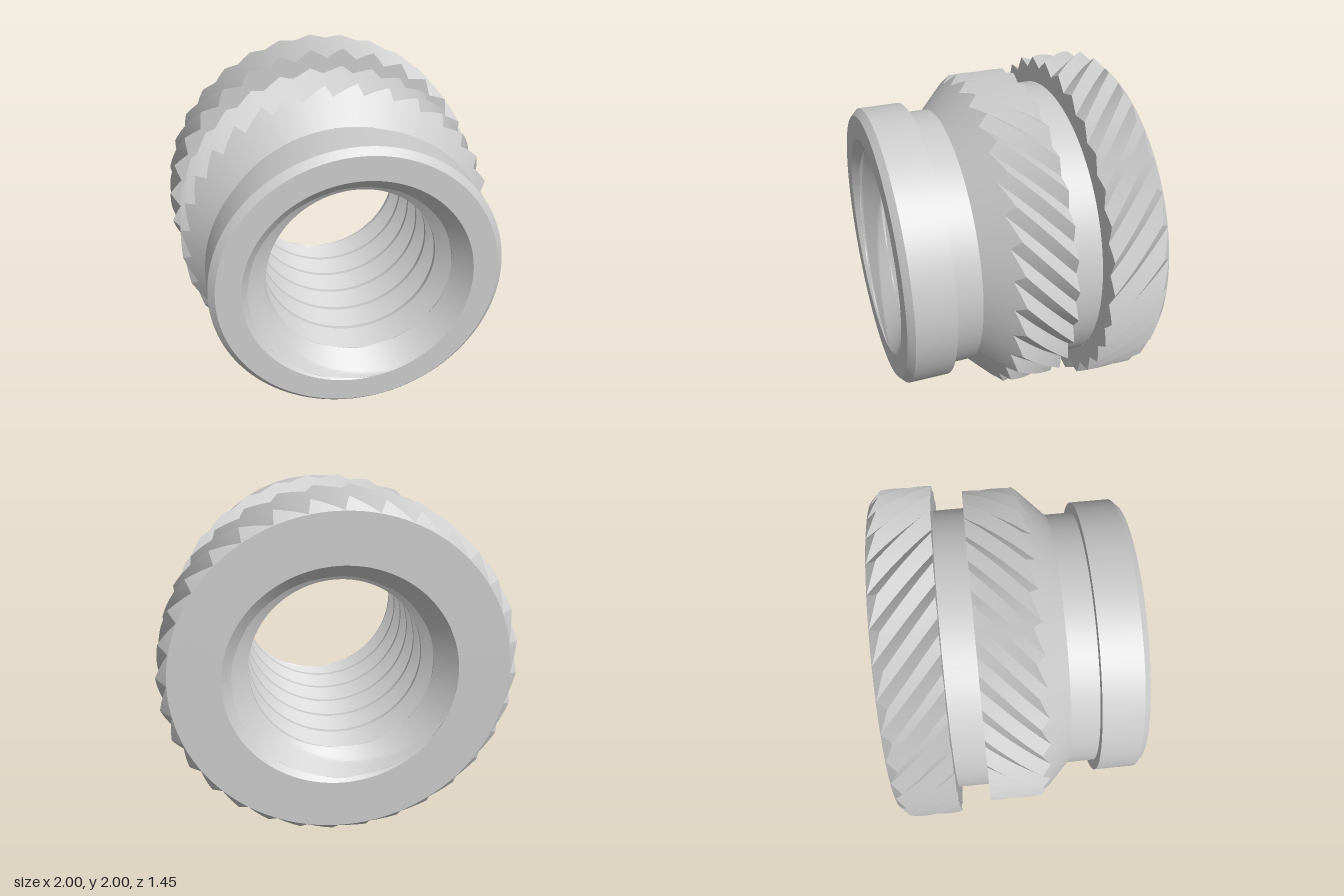
import * as THREE from 'three';
import { toCreasedNormals } from 'three/addons/utils/BufferGeometryUtils.js';

const TAU = Math.PI * 2;
const HALF = 0.725;        // half length along z
const BORE_MOUTH = 0.65;
const material = new THREE.MeshStandardMaterial({ color: 0xcccccc });

// Surface around the z axis: point(i, j) returns [radius, angle, z].
// Columns run counter-clockwise; rows run towards +z on the outside.
function sheet(name, cols, rows, point) {
  const pos = [];
  const at = (i, j) => {
    const [r, a, z] = point(i, j);
    return new THREE.Vector3(r * Math.cos(a), r * Math.sin(a), z);
  };
  const tri = new THREE.Triangle();
  const add = (a, b, c) => {
    if (tri.set(a, b, c).getArea() < 1e-8) return;
    for (const p of [a, b, c]) pos.push(p.x, p.y, p.z);
  };
  for (let j = 0; j < rows; j++) {
    for (let i = 0; i < cols; i++) {
      const a = at(i, j), b = at(i + 1, j), c = at(i + 1, j + 1), d = at(i, j + 1);
      add(a, b, c);
      add(a, c, d);
    }
  }
  const geometry = new THREE.BufferGeometry();
  geometry.setAttribute('position', new THREE.Float32BufferAttribute(pos, 3));
  const mesh = new THREE.Mesh(toCreasedNormals(geometry, 0.22), material);
  mesh.name = name;
  return mesh;
}

// Plain turned section from [radius, z] points
function turned(name, profile) {
  return sheet(name, 128, profile.length - 1, (i, j) => [profile[j][0], (i / 128) * TAU, profile[j][1]]);
}

// Ring of slanted V teeth. start(h) and end(h) give the z limits of a line at
// tooth height h; before and after are plain [radius, z] rows closing the ends.
function knurl(name, { crest, root, twist, phase, start, end, before, after }) {
  const teeth = 32, sub = 6, steps = 10;
  const cols = teeth * sub;
  const rows = before.length + steps + after.length;
  return sheet(name, cols, rows, (i, j) => {
    const h = crest - (crest - root) * Math.abs(((i % sub) / sub) * 2 - 1);
    const k = THREE.MathUtils.clamp((j - before.length) / steps, 0, 1);
    const z = THREE.MathUtils.lerp(start(h), end(h), k);
    const angle = (i / cols) * TAU + twist * z + phase;
    if (j < before.length) return [before[j][0], angle, before[j][1]];
    const past = j - before.length - steps - 1;
    if (past >= 0) return [after[past][0], angle, after[past][1]];
    return [h, angle, z];
  });
}

// Internal right-hand V thread with a narrow crest, chamfered at both mouths
function threadedBore() {
  const pitch = 0.2, minor = 0.5, depth = BORE_MOUTH - minor;
  const sub = 32, cols = 128, phase = 0.742, crest = 0.125, flank = (1 - crest) / 2;
  const first = Math.ceil(HALF / pitch + 1) * sub;
  const last = -Math.ceil(HALF / pitch + 2) * sub;
  return sheet('threadedBore', cols, first - last, (i, j) => {
    const n = first - j;
    const t = (((n % sub) + sub) % sub) / sub;
    const rise = Math.max(0, Math.min((t - crest) / flank, (1 - t) / flank));
    const z = THREE.MathUtils.clamp((n / sub - phase + i / cols) * pitch, -HALF, HALF);
    const mouth = BORE_MOUTH - (HALF - Math.abs(z));
    return [Math.max(minor + depth * rise, mouth), (i / cols) * TAU, z];
  });
}

export function createModel() {
  const group = new THREE.Group();
  group.name = 'threadedInsert';
  const body = new THREE.Group();
  body.name = 'body';
  body.position.y = 1;
  group.add(body);

  // Wide rear ring with chamfered back edge
  body.add(knurl('rearKnurl', {
    crest: 1, root: 0.94, twist: -1.2, phase: -0.07,
    start: (h) => -HALF + (h - 0.938), end: () => -0.37,
    before: [[BORE_MOUTH, -HALF], [0.938, -HALF]],
    after: [[0.85, -0.37]],
  }));

  // Groove between the two rings
  body.add(turned('neck', [[0.85, -0.37], [0.85, -0.19]]));

  // Front ring, slanted the other way, running out into a cone
  body.add(knurl('frontKnurl', {
    crest: 0.95, root: 0.897, twist: 1.2, phase: 0.05,
    start: () => -0.19, end: (h) => 0.11 + (0.95 - h),
    before: [[0.85, -0.19]],
    after: [[0.767, 0.293]],
  }));

  // Smooth pilot collar and front face
  body.add(turned('pilotCollar', [
    [0.767, 0.293], [0.767, 0.455], [0.827, 0.455], [0.827, 0.688], [0.79, HALF], [BORE_MOUTH, HALF],
  ]));

  body.add(threadedBore());
  return group;
}
